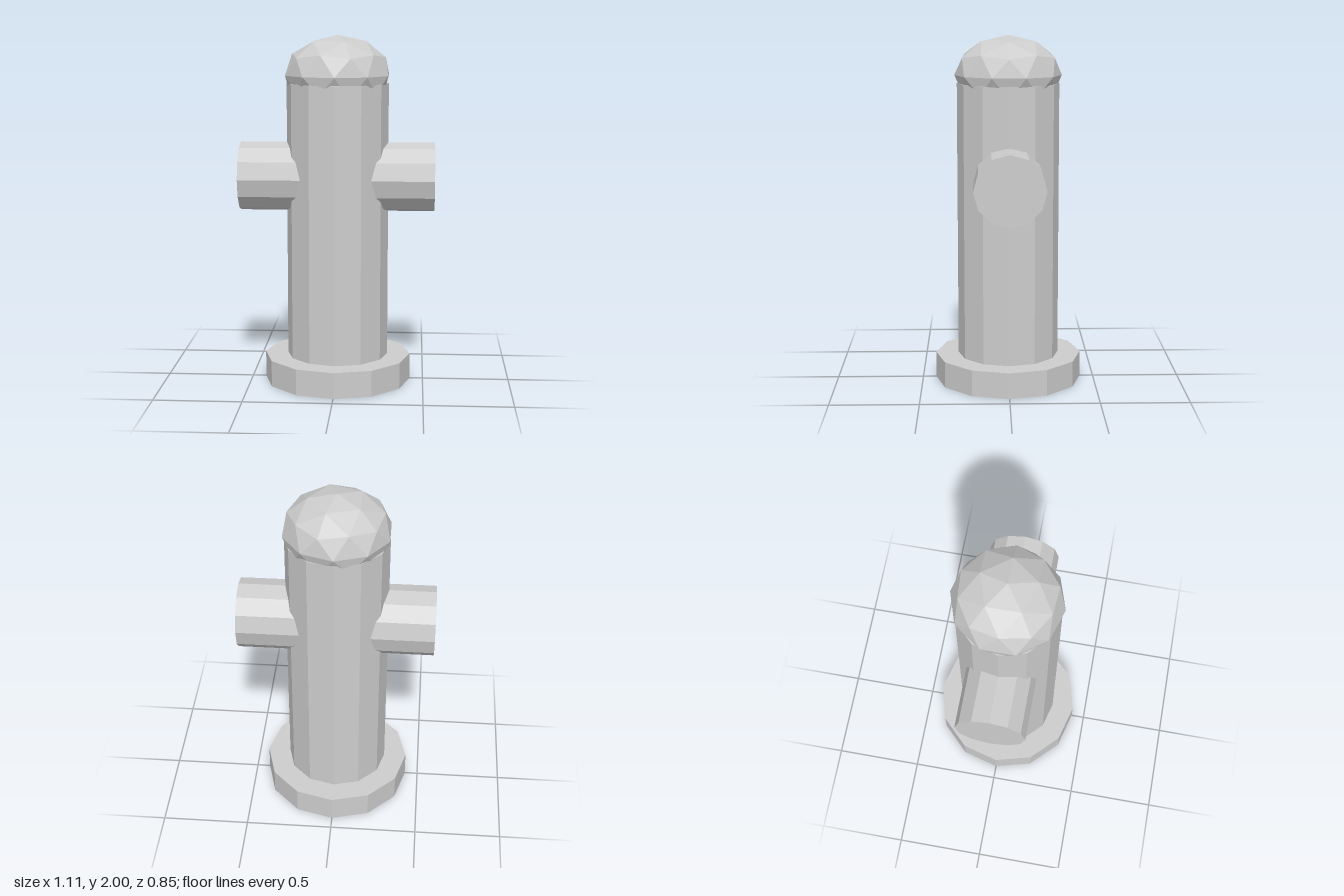
import * as THREE from 'three';

const paint = new THREE.MeshStandardMaterial({ color: 0xcccccc });
paint.name = 'light grey';

// Faceted mesh: every face gets its own normal
function facetedMesh(name, geometry) {
  const g = geometry.index ? geometry.toNonIndexed() : geometry;
  g.computeVertexNormals();
  const mesh = new THREE.Mesh(g, paint);
  mesh.name = name;
  return mesh;
}

// Twelve-sided upright cylinder between two heights
function column(name, radius, bottom, top) {
  const g = new THREE.CylinderGeometry(radius, radius, top - bottom, 12);
  return facetedMesh(name, g.translate(0, (bottom + top) / 2, 0));
}

// Subdivided icosahedron standing on a corner, with one upper corner towards +x
function icosphere() {
  const h = 1 / Math.sqrt(5), r = 2 * h;
  const corners = [0, 1, 0, 0, -1, 0];
  const faces = [];
  for (let i = 0; i < 5; i++) {
    const a = (i * 2 * Math.PI) / 5, b = a + Math.PI / 5;
    corners.push(r * Math.cos(a), h, r * Math.sin(a));
    corners.push(r * Math.cos(b), -h, r * Math.sin(b));
    const j = (i + 1) % 5;
    const u = 2 + 2 * i, l = u + 1, u2 = 2 + 2 * j, l2 = u2 + 1;
    faces.push(0, u2, u, u, u2, l, l, u2, l2, l, l2, 1);
  }
  return new THREE.PolyhedronGeometry(corners, faces, 1, 1);
}

export function createModel() {
  const hydrant = new THREE.Group();
  hydrant.name = 'hydrant';

  // Foot flange and barrel
  hydrant.add(column('baseFlange', 0.423, 0, 0.15));
  hydrant.add(column('barrel', 0.291, 0.003, 1.73));

  // Side outlets: one pipe running through the barrel
  const pipe = new THREE.CylinderGeometry(0.198, 0.198, 1.112, 12);
  pipe.rotateZ(Math.PI / 2).translate(0, 1.195, 0);
  hydrant.add(facetedMesh('sideOutlets', pipe));

  // Flattened cap, its lower half sunk into the barrel
  const cap = icosphere().scale(0.305, 0.225, 0.305).translate(0, 1.775, 0);
  hydrant.add(facetedMesh('domeCap', cap));

  return hydrant;
}
